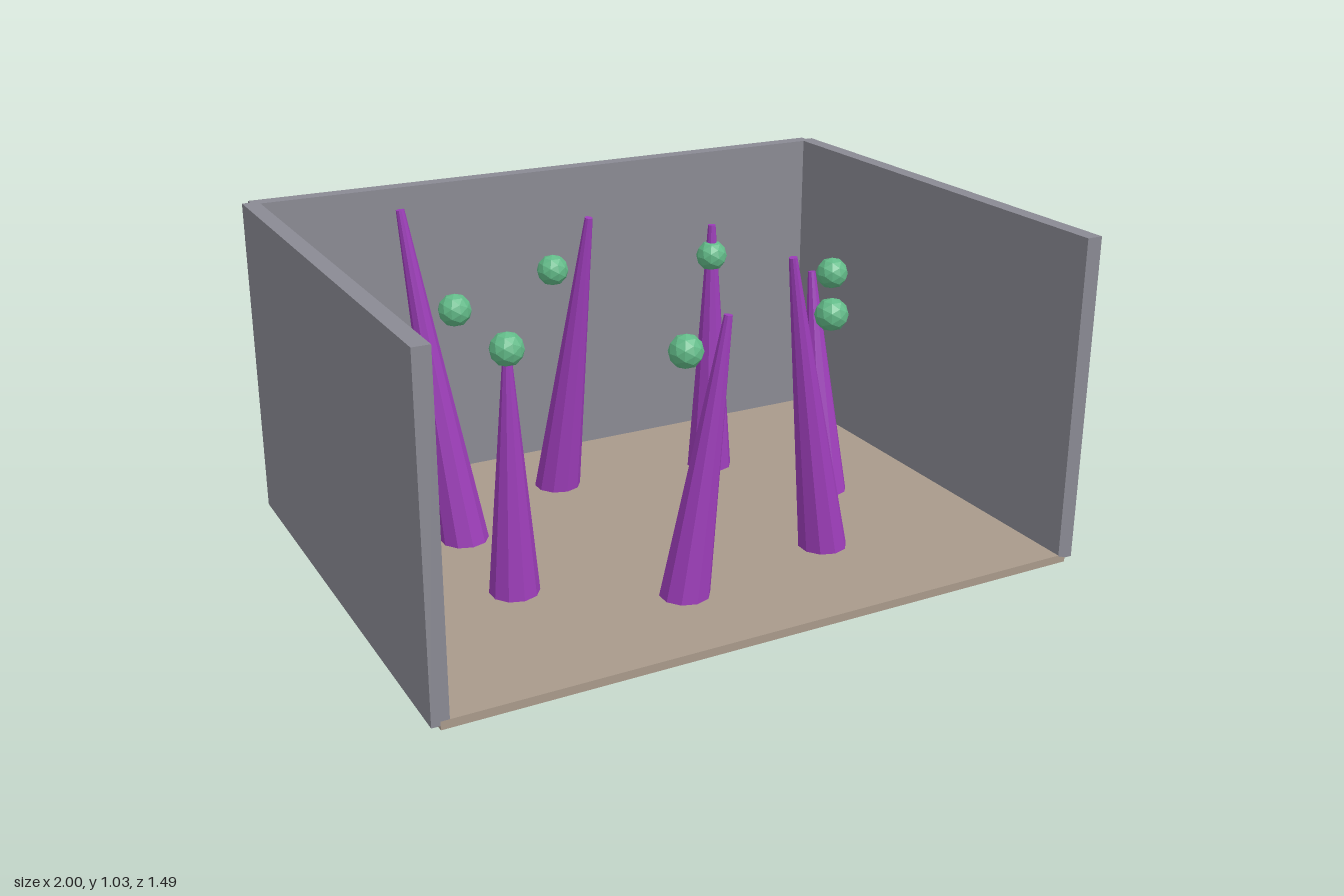
import * as THREE from 'three';

export function createModel() {
  const model = new THREE.Group();
  const mat = (name, color, flatShading = false) => {
    const m = new THREE.MeshStandardMaterial({ color, flatShading });
    m.name = name;
    return m;
  };
  const wallGrey = mat('wallGrey', 0x8a8a93);
  const floorTan = mat('floorTan', 0xa99a8b);
  const spikePurple = mat('spikePurple', 0x9c3db8, true);
  const orbGreen = mat('orbGreen', 0x62ba88, true);

  const add = (name, geometry, material, x, y, z) => {
    const mesh = new THREE.Mesh(geometry, material);
    mesh.name = name;
    mesh.position.set(x, y, z);
    model.add(mesh);
    return mesh;
  };

  // Room shell: floor, back wall and two side walls, open at the front
  const T = 0.0488, H = 0.9756, D = 1.4634, base = 0.0122, zMid = 0.0122;
  add('floor', new THREE.BoxGeometry(1.9512, 0.0244, D), floorTan, 0, base, zMid);
  add('backWall', new THREE.BoxGeometry(1.9512, H, T), wallGrey, 0, base + H / 2, zMid - D / 2);
  for (const [name, s] of [['leftWall', 1], ['rightWall', -1]]) {
    add(name, new THREE.BoxGeometry(T, H, D), wallGrey, s * 0.9756, base + H / 2, zMid);
  }

  // Tip of each leaning spike, in order around the ellipse
  const tips = [
    [0.61, 0.72, -0.1], [0.245, 0.93, 0.357], [-0.018, 0.833, 0.458], [-0.55, 0.73, 0.203],
    [-0.66, 1.027, -0.285], [-0.067, 0.93, -0.295], [0.38, 0.844, -0.331],
  ];
  const up = new THREE.Vector3(0, 1, 0);
  const orbGeometry = new THREE.IcosahedronGeometry(0.0488, 1);

  tips.forEach((t, i) => {
    const a = (i / tips.length) * Math.PI * 2;
    const foot = new THREE.Vector3(0.6098 * Math.cos(a), base, zMid + 0.439 * Math.sin(a));
    const axis = new THREE.Vector3(...t).sub(foot);
    const length = axis.length();

    // Tapered spike, pivoting on its foot
    const geometry = new THREE.CylinderGeometry(0.0122, 0.0732, length, 10);
    geometry.translate(0, length / 2, 0);
    const spike = add(`spike${i + 1}`, geometry, spikePurple, foot.x, foot.y, foot.z);
    spike.quaternion.setFromUnitVectors(up, axis.normalize());

    // Faceted orb floating above the foot
    add(`orb${i + 1}`, orbGeometry, orbGreen, foot.x, 0.744, foot.z);
  });

  return model;
}
